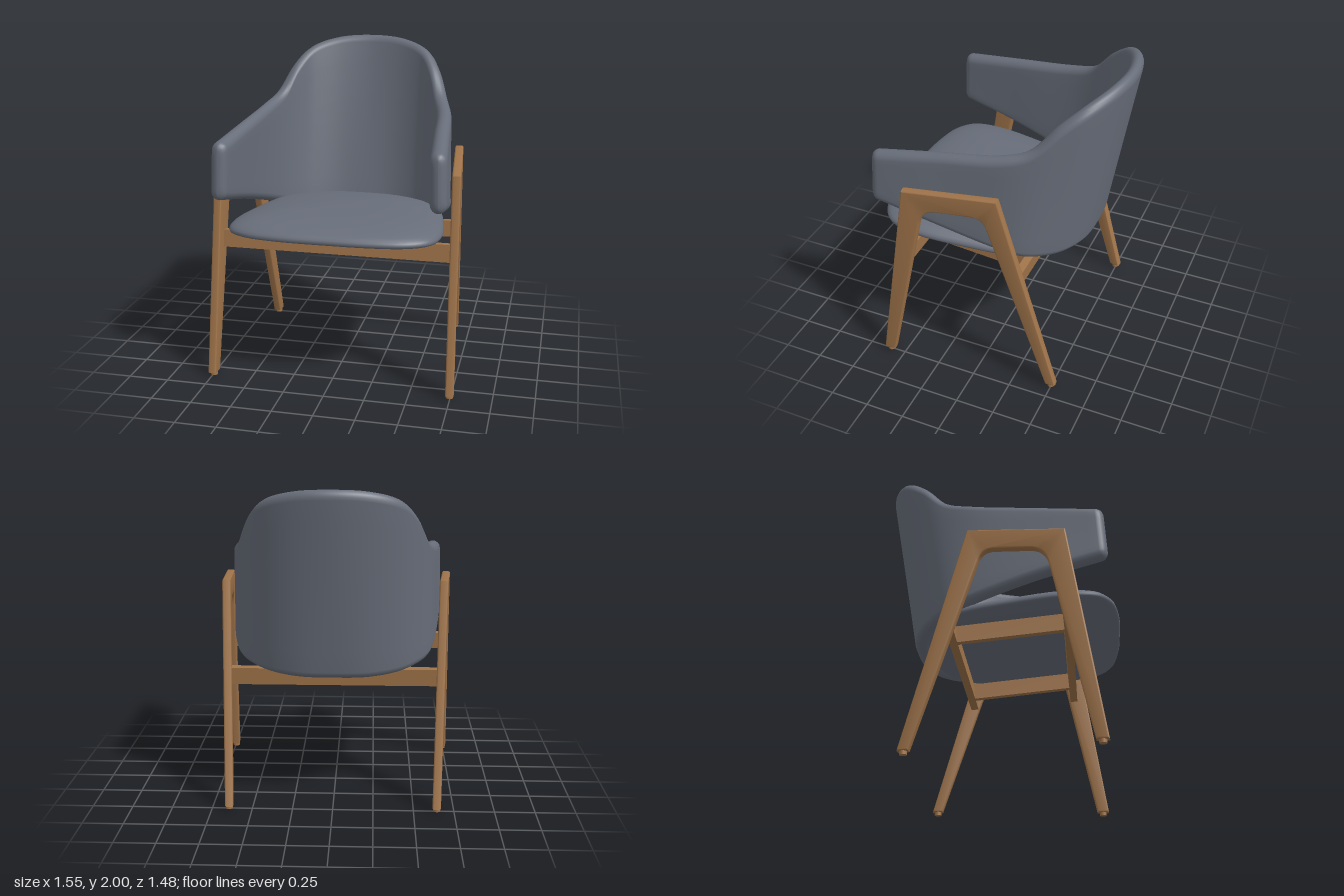
import * as THREE from 'three';
import { toCreasedNormals } from 'three/addons/utils/BufferGeometryUtils.js';

const wood = new THREE.MeshStandardMaterial({ color: 0xa0744a });
wood.name = 'wood';
const fabric = new THREE.MeshStandardMaterial({ color: 0x686e7a });
fabric.name = 'greyFabric';

const V = (x, y, z) => new THREE.Vector3(x, y, z);

function mesh(name, geometry, material) {
  const m = new THREE.Mesh(geometry, material);
  m.name = name;
  return m;
}

// Skin a list of closed loops of equal length
function skin(loops) {
  const n = loops[0].length, index = [];
  for (let i = 0; i < loops.length - 1; i++) {
    for (let j = 0; j < n; j++) {
      const k = (j + 1) % n, a = i * n, b = a + n;
      index.push(a + j, b + j, a + k, b + j, b + k, a + k);
    }
  }
  const g = new THREE.BufferGeometry().setFromPoints(loops.flat());
  g.setIndex(index);
  g.computeVertexNormals();
  return g;
}

// Complete a half curve (+x, ending on the centre line) by mirroring it
function mirrored(half) {
  const pts = half.map((p) => V(...p));
  const other = half.slice(0, -1).reverse().map(([x, y, z]) => V(-x, y, z));
  return new THREE.CatmullRomCurve3([...pts, ...other]);
}

// Wrap-around backrest and arms: rounded section between a lower and an upper rim
function shellGeometry() {
  const top = mirrored([
    [0.645, 1.51, 0.61], [0.61, 1.56, 0.25], [0.575, 1.615, -0.14], [0.535, 1.67, -0.3],
    [0.47, 1.83, -0.45], [0.385, 1.93, -0.57], [0.22, 1.985, -0.665], [0, 2, -0.705],
  ]);
  const bottom = mirrored([
    [0.655, 1.155, 0.63], [0.63, 1.06, 0.25], [0.575, 0.95, -0.12], [0.535, 0.91, -0.24],
    [0.45, 0.885, -0.345], [0.35, 0.87, -0.42], [0.19, 0.86, -0.48], [0, 0.86, -0.495],
  ]);

  // phi rounds off the arm ends, dir is the way they point along the curve
  const section = (u, phi = 0, dir = 0) => {
    const T = top.getPoint(u), B = bottom.getPoint(u);
    const tan = top.getTangent(u).add(bottom.getTangent(u)).normalize();
    const up = T.clone().sub(B);
    const height = up.length();
    up.normalize();
    const out = tan.clone().cross(up).normalize();
    const back = 1 - Math.abs(2 * u - 1);
    const r = 0.05, inset = r * (1 - Math.cos(phi));
    const at = (d, across) => {
      const h = (0.05 - 0.012 * back * d / height) * Math.cos(phi);
      return B.clone().addScaledVector(up, d).addScaledVector(out, across * h)
        .addScaledVector(tan, dir * r * Math.sin(phi));
    };
    const low = inset + r, high = height - inset - r, loop = [];
    for (let k = 0; k <= 8; k++) loop.push(at(low + (high - low) * k / 8, 1));
    for (let k = 1; k < 8; k++) {
      const a = Math.PI * k / 8;
      loop.push(at(high + r * Math.sin(a), Math.cos(a)));
    }
    for (let k = 8; k >= 0; k--) loop.push(at(low + (high - low) * k / 8, -1));
    for (let k = 1; k < 8; k++) {
      const a = Math.PI * k / 8;
      loop.push(at(low - r * Math.sin(a), -Math.cos(a)));
    }
    return loop;
  };

  const loops = [];
  for (let k = 6; k > 0; k--) loops.push(section(0, Math.PI / 2 * k / 6, -1));
  for (let i = 0; i <= 100; i++) loops.push(section(i / 100));
  for (let k = 1; k <= 6; k++) loops.push(section(1, Math.PI / 2 * k / 6, 1));
  return skin(loops);
}

// Domed cushion on a rounded outline, flatter underneath
function seatGeometry() {
  const half = [
    [0.3, 0.735], [0.5, 0.69], [0.61, 0.6], [0.65, 0.42], [0.62, 0.1],
    [0.56, -0.2], [0.45, -0.37], [0.25, -0.47],
  ];
  const outline = new THREE.CatmullRomCurve3([
    V(0, 0, 0.745), ...half.map(([x, z]) => V(x, 0, z)),
    V(0, 0, -0.49), ...half.slice().reverse().map(([x, z]) => V(-x, 0, z)),
  ], true);
  const edge = outline.getPoints(72).slice(0, 72);
  const cz = 0.13, loops = [];
  for (let i = 0; i <= 28; i++) {
    const phi = Math.PI * i / 28;
    const r = Math.sin(phi), c = Math.cos(phi);
    const lift = c > 0 ? 0.12 * c : -0.045 * Math.pow(-c, 0.6);
    loops.push(edge.map((p) => {
      const z = cz + (p.z - cz) * r;
      return V(p.x * r, 0.925 + 0.06 * z + lift, z);
    }));
  }
  return skin(loops);
}

// Arched leg frame drawn in side view (shape x becomes z)
function legFrameGeometry() {
  const s = new THREE.Shape();
  s.moveTo(0.64, 0.02);
  s.lineTo(0.435, 1.33);
  s.lineTo(-0.155, 1.38);
  s.lineTo(-0.53, 0.02);
  s.lineTo(-0.465, 0.02);
  s.lineTo(-0.09, 1.165);
  s.quadraticCurveTo(-0.068, 1.242, 0.01, 1.237);
  s.lineTo(0.22, 1.222);
  s.quadraticCurveTo(0.315, 1.215, 0.337, 1.1);
  s.lineTo(0.567, 0.02);
  s.closePath();
  const g = new THREE.ExtrudeGeometry(s, {
    depth: 0.034, bevelEnabled: true, bevelSize: 0.009, bevelThickness: 0.009,
    bevelOffset: -0.009, bevelSegments: 3, curveSegments: 10,
  });
  g.translate(0, 0, -0.017);
  g.rotateY(-Math.PI / 2);
  return toCreasedNormals(g, 0.6);
}

export function createModel() {
  const chair = new THREE.Group();
  chair.name = 'armchair';
  chair.add(mesh('backrestShell', shellGeometry(), fabric));
  chair.add(mesh('seatCushion', seatGeometry(), fabric));

  // Side frames, splayed towards the front
  const frame = legFrameGeometry();
  for (const side of [1, -1]) {
    const g = new THREE.Group();
    g.name = side > 0 ? 'leftLegFrame' : 'rightLegFrame';
    g.add(mesh('legs', frame, wood));
    for (const z of [0.603, -0.497]) {
      const foot = mesh('foot', new THREE.CylinderGeometry(0.022, 0.022, 0.03, 16), wood);
      foot.position.set(0, 0.015, z);
      g.add(foot);
    }
    g.position.x = side * 0.69;
    g.rotation.y = side * 0.092;
    chair.add(g);

    // Lengthwise seat support
    const bar = mesh('seatSupport', new THREE.BoxGeometry(0.04, 0.105, 0.69), wood);
    bar.position.set(side * 0.46, 0.825, 0.085);
    bar.rotation.x = -0.087;
    chair.add(bar);
  }

  // Cross rails
  const rails = [['frontRail', 1.42, 0.855, 0.425], ['backRail', 1.31, 0.795, -0.26]];
  for (const [name, width, y, z] of rails) {
    const rail = mesh(name, new THREE.BoxGeometry(width, 0.108, 0.048), wood);
    rail.position.set(0, y, z);
    rail.rotation.x = -0.087;
    chair.add(rail);
  }
  return chair;
}
